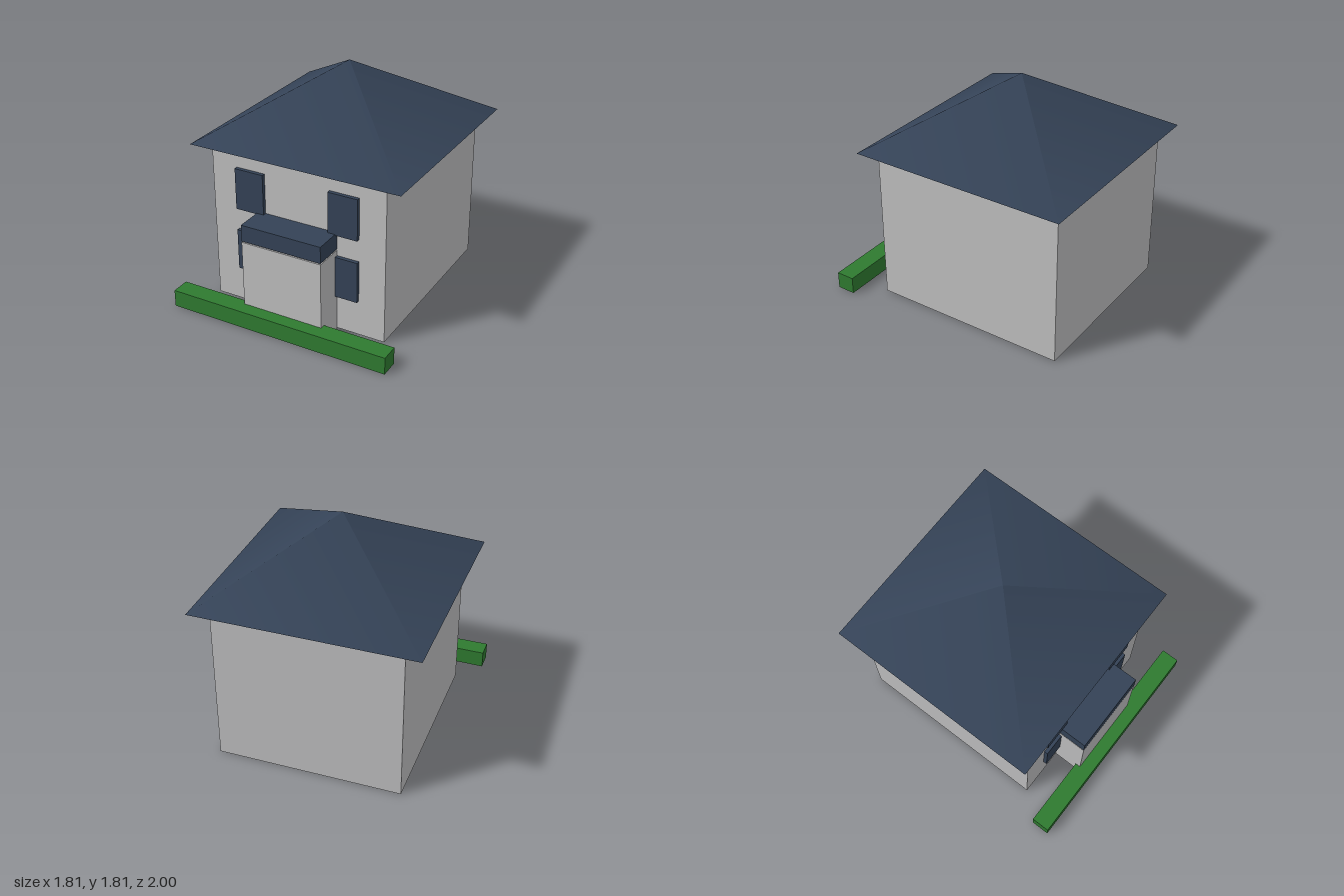
import * as THREE from 'three';

const material = (name, color) => {
  const m = new THREE.MeshStandardMaterial({ color });
  m.name = name;
  return m;
};

export function createModel() {
  const house = new THREE.Group();
  house.name = 'house';
  const wall = material('light grey wall', 0xbdbdbe);
  const slate = material('slate blue', 0x344256);
  const green = material('hedge green', 0x2f7a30);

  // Box given by its minimum and maximum corners
  const block = (name, mat, [x0, y0, z0], [x1, y1, z1]) => {
    const mesh = new THREE.Mesh(new THREE.BoxGeometry(x1 - x0, y1 - y0, z1 - z0), mat);
    mesh.position.set((x0 + x1) / 2, (y0 + y1) / 2, (z0 + z1) / 2);
    mesh.name = name;
    house.add(mesh);
  };

  block('walls', wall, [-0.725, 0, -0.91], [0.725, 1.272, 0.655]);

  // Four-sided hipped roof with overhanging eaves
  const roof = new THREE.Mesh(new THREE.ConeGeometry(0.868 * Math.SQRT2, 0.54, 4), slate);
  roof.rotation.y = Math.PI / 4;
  roof.position.set(0, 1.542, -0.132);
  roof.name = 'roof';
  house.add(roof);

  // Porch with its flat canopy
  block('porch', wall, [-0.332, 0, 0.655], [0.332, 0.668, 0.895]);
  block('porchCanopy', slate, [-0.332, 0.677, 0.655], [0.332, 0.81, 0.895]);

  // Two rows of windows, mirrored left and right
  for (const [row, y] of [['lower', 0.29], ['upper', 0.802]]) {
    block(row + 'LeftWindow', slate, [0.272, y, 0.655], [0.512, y + 0.332, 0.685]);
    block(row + 'RightWindow', slate, [-0.512, y, 0.655], [-0.272, y + 0.332, 0.685]);
  }

  block('hedge', green, [-0.905, 0, 0.853], [0.905, 0.137, 1]);
  return house;
}
